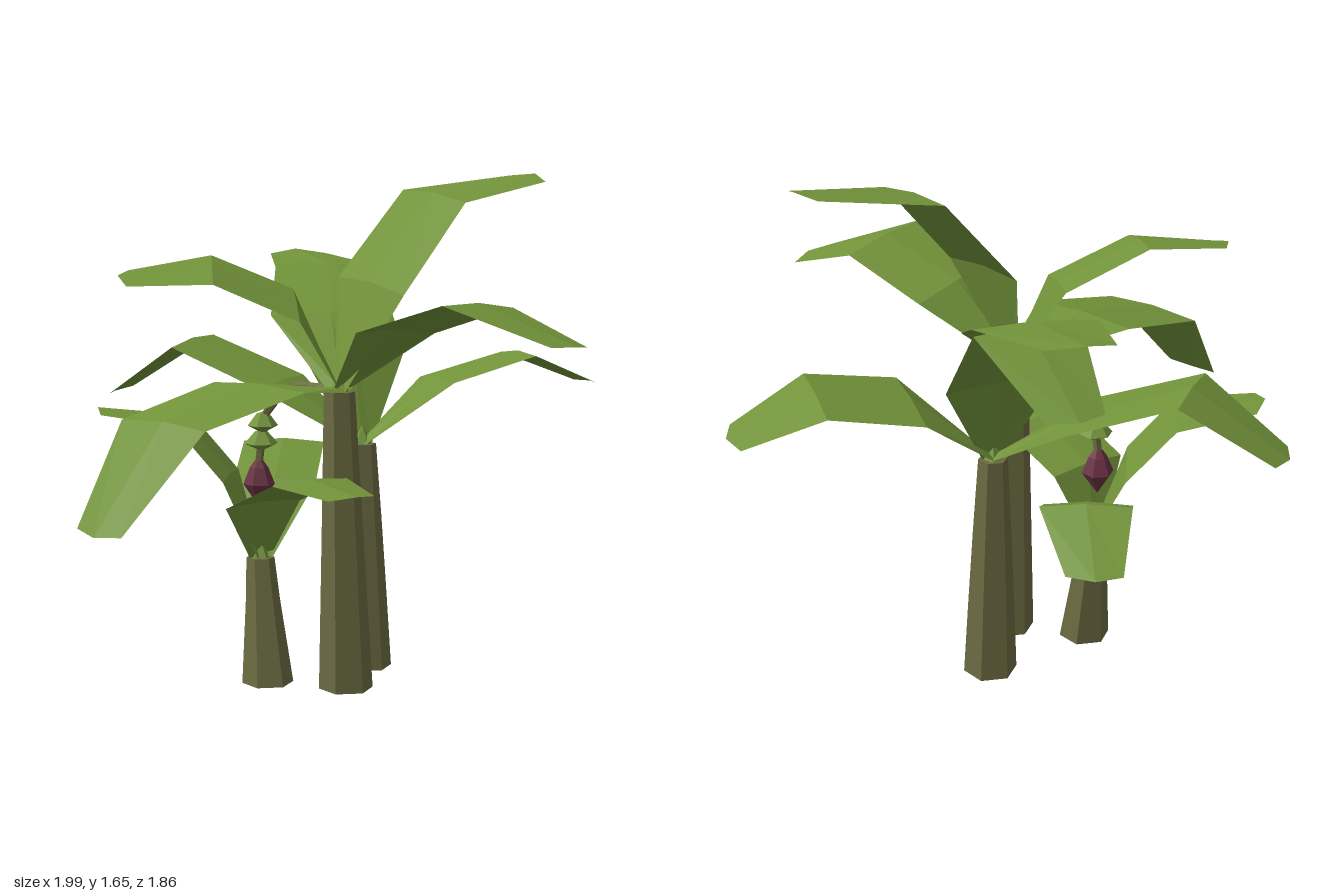
import * as THREE from 'three';

const V = (a) => new THREE.Vector3(...a);

export function createModel() {
  const model = new THREE.Group();
  const mat = (name, color, extra = {}) => {
    const m = new THREE.MeshStandardMaterial({ color, flatShading: true, ...extra });
    m.name = name;
    return m;
  };
  const leafGreen = mat('leaf green', 0x72933a, { side: THREE.DoubleSide });
  const bark = mat('bark', 0x6b6a42, { side: THREE.DoubleSide });
  const budRed = mat('bud red', 0x6b3344);

  const add = (parent, name, geometry, material) => {
    const mesh = new THREE.Mesh(geometry, material);
    mesh.name = name;
    parent.add(mesh);
    return mesh;
  };

  // Leaf: three folded segments, each row has two edges and a raised midrib
  function leafGeometry(base, path, widths, roll) {
    const centres = [base, ...path].map(V);
    const heading = centres[3].clone().sub(centres[0]).setY(0).normalize();
    const side = new THREE.Vector3(-heading.z, 0, heading.x);
    const pos = [];
    const index = [];
    centres.forEach((c, i) => {
      const half = widths[i] / 2;
      const slope = i ? roll : 0;
      const s = side.clone().setY(slope).normalize().multiplyScalar(half);
      const rib = c.clone();
      rib.y += 0.012;
      if (i === 3) rib.addScaledVector(c.clone().sub(centres[2]).normalize(), 0.03);
      pos.push(...c.clone().sub(s).toArray(), ...rib.toArray(), ...c.clone().add(s).toArray());
      if (i === 0) return;
      for (let k = 0; k < 2; k++) {
        const a = (i - 1) * 3 + k;
        const b = a + 3;
        index.push(a, a + 1, b, a + 1, b + 1, b);
      }
    });
    const g = new THREE.BufferGeometry();
    g.setAttribute('position', new THREE.Float32BufferAttribute(pos, 3));
    g.setIndex(index);
    g.computeVertexNormals();
    return g;
  }

  // Trunk: six-sided rings from foot to crown, closed underneath and on top
  function trunkGeometry(foot, crown, rings) {
    const g = new THREE.CylinderGeometry(1, 1, 1, 6, rings.length - 1);
    const p = g.attributes.position;
    const height = crown[1];
    for (let i = 0; i < p.count; i++) {
      const t = p.getY(i) + 0.5;
      const r = rings[Math.round(t * (rings.length - 1))];
      p.setXYZ(i,
        foot[0] + (crown[0] - foot[0]) * t + p.getX(i) * r,
        height * t,
        foot[1] + (crown[2] - foot[1]) * t + p.getZ(i) * r);
    }
    g.computeVertexNormals();
    return g;
  }

  // Each leaf: centre points at the widest row, knee and tip, then roll
  const plants = [
    {
      name: 'tallPlant', foot: [0, 0.085], crown: [-0.03, 0.97, 0.088],
      rings: [0.088, 0.075, 0.062, 0.05], widths: [0.07, 0.4, 0.37, 0.2],
      leaves: [
        [[0.0, 1.17, 0.33], [0.063, 1.265, 0.63], [0.16, 1.16, 0.91], 0.07],
        [[-0.39, 1.015, 0.15], [-0.76, 0.935, 0.19], [-0.99, 0.65, 0.21], 0],
        [[0.085, 1.3, 0.1], [0.33, 1.58, 0.12], [0.68, 1.635, 0.19], -0.1],
        [[-0.11, 1.24, -0.03], [-0.35, 1.355, -0.15], [-0.58, 1.33, -0.28], 0.2],
        [[0.13, 1.19, -0.16], [0.33, 1.33, -0.43], [0.41, 1.365, -0.71], 0],
      ],
    },
    {
      name: 'middlePlant', foot: [0.225, -0.09], crown: [0.215, 0.76, -0.1],
      rings: [0.087, 0.075, 0.062, 0.047], widths: [0.07, 0.36, 0.33, 0.18],
      leaves: [
        [[0.43, 0.97, 0.03], [0.725, 1.045, 0.11], [0.95, 0.945, 0.205], 0.05],
        [[0.08, 0.95, -0.36], [-0.09, 1.08, -0.65], [-0.24, 0.9, -0.88], 0.05],
        [[0.26, 1.05, -0.2], [0.35, 1.32, -0.42], [0.42, 1.155, -0.7], 0],
      ],
    },
    {
      name: 'smallPlant', foot: [-0.16, -0.125], crown: [-0.155, 0.41, -0.17],
      rings: [0.084, 0.07, 0.056, 0.046], widths: [0.08, 0.28, 0.28, 0.17],
      leaves: [
        [[0.02, 0.62, -0.33], [0.18, 0.725, -0.49], [0.31, 0.61, -0.67], 0],
        [[-0.2, 0.67, -0.27], [-0.31, 0.85, -0.38], [-0.51, 0.88, -0.53], 0],
        [[-0.2, 0.6, -0.09], [-0.18, 0.7, 0.13], [-0.19, 0.68, 0.35], 0],
      ],
    },
  ];

  for (const plant of plants) {
    const group = new THREE.Group();
    group.name = plant.name;
    model.add(group);
    add(group, 'trunk', trunkGeometry(plant.foot, plant.crown, plant.rings), bark);
    // Short pointed shoot in the middle of the crown
    const shoot = add(group, 'shoot', new THREE.ConeGeometry(0.035, 0.07, 5), leafGreen);
    shoot.position.set(...plant.crown).add(V([0, 0.03, 0]));
    for (const [wide, knee, tip, roll] of plant.leaves) {
      add(group, 'leaf', leafGeometry(plant.crown, [wide, knee, tip], plant.widths, roll), leafGreen);
    }
  }

  // Hanging fruit stalk with two hands of fruit and a bud at the end
  const fruit = new THREE.Group();
  fruit.name = 'fruitCluster';
  model.add(fruit);
  const stalk = new THREE.CatmullRomCurve3([
    [-0.03, 0.96, 0.08], [-0.07, 0.98, -0.06], [-0.12, 0.9, -0.17], [-0.13, 0.72, -0.21],
  ].map(V));
  add(fruit, 'fruitStalk', new THREE.TubeGeometry(stalk, 6, 0.014, 5), bark);
  [[0.84, 0.05, -0.19], [0.78, 0.055, -0.2]].forEach(([y, r, z]) => {
    const profile = [[0.001, -0.025], [r, 0], [0.02, 0.04], [0.001, 0.045]];
    const hand = add(fruit, 'fruitHand',
      new THREE.LatheGeometry(profile.map((q) => new THREE.Vector2(...q)), 6), leafGreen);
    hand.position.set(-0.128, y, z);
  });
  const budProfile = [[0.001, 0.57], [0.052, 0.645], [0.03, 0.7], [0.001, 0.74]];
  const bud = add(fruit, 'flowerBud',
    new THREE.LatheGeometry(budProfile.map((q) => new THREE.Vector2(...q)), 6), budRed);
  bud.position.set(-0.13, 0, -0.21);

  return model;
}
